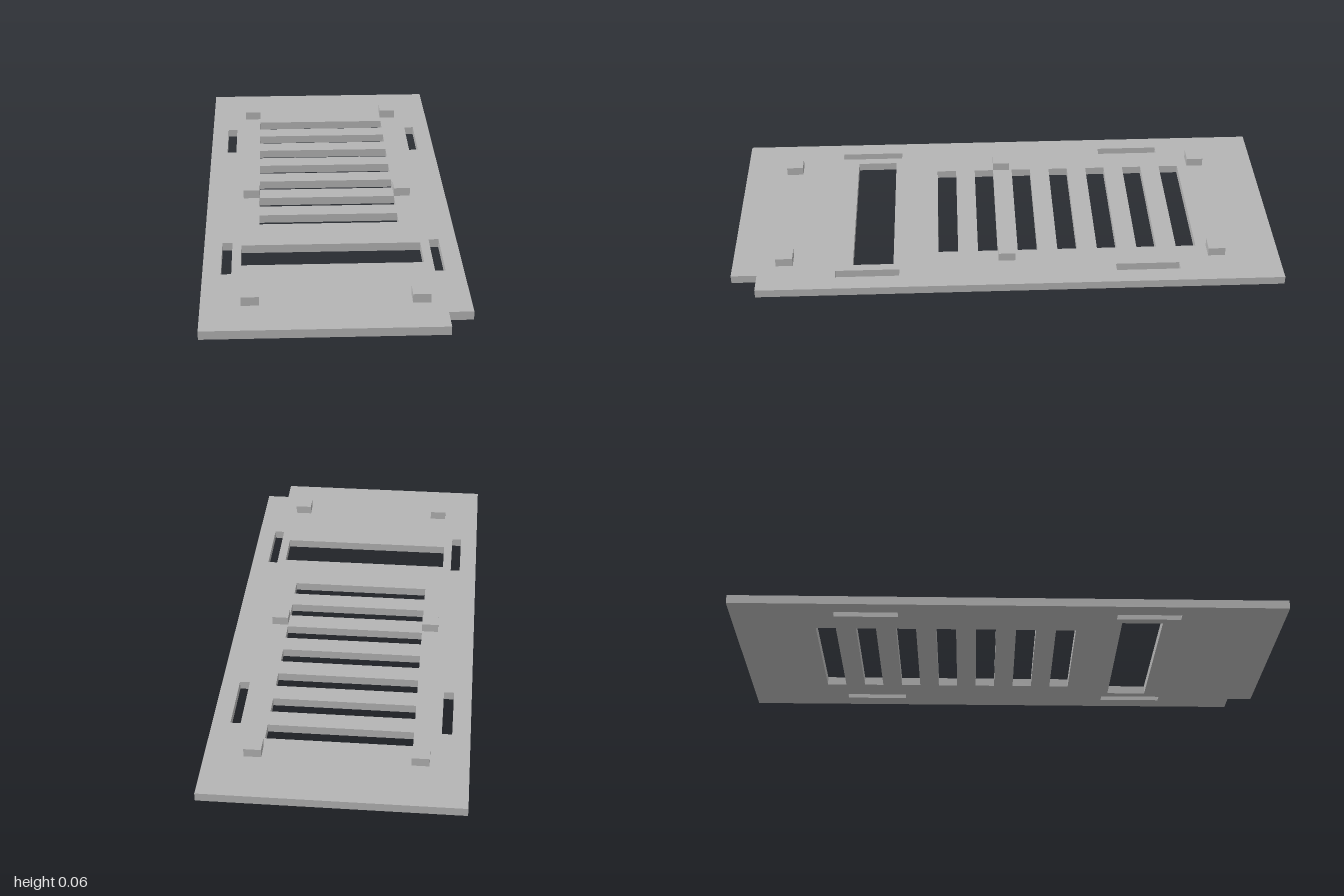
import * as THREE from 'three';

const THICK = 0.031;

// Rectangle in plan coordinates (x, z); shape y is -z
function trace(path, points) {
  path.setFromPoints(points.map(([x, z]) => new THREE.Vector2(x, -z)));
  path.closePath();
  return path;
}

function slot(x0, x1, z0, z1) {
  return trace(new THREE.Path(), [[x0, z0], [x1, z0], [x1, z1], [x0, z1]]);
}

export function createModel() {
  const group = new THREE.Group();
  group.name = 'ventedPlate';
  const grey = new THREE.MeshStandardMaterial({ color: 0xb4b4b4 });
  grey.name = 'grey';

  // Plate outline with a notch in the front left corner
  const outline = trace(new THREE.Shape(), [
    [-0.452, 1], [0.368, 1], [0.368, 0.907], [0.452, 0.907], [0.452, -1], [-0.452, -1],
  ]);

  // Seven vent slots
  for (let i = 0; i < 7; i++) {
    const z = -0.702 + i * 0.1465;
    outline.holes.push(slot(-0.256, 0.256, z, z + 0.073));
  }
  // Wide opening
  outline.holes.push(slot(-0.32, 0.32, 0.414, 0.562));
  // Narrow strap slots along both sides
  for (const [z0, z1] of [[-0.629, -0.397], [0.392, 0.624]]) {
    outline.holes.push(slot(-0.388, -0.352, z0, z1), slot(0.352, 0.388, z0, z1));
  }

  const plateGeometry = new THREE.ExtrudeGeometry(outline, { depth: THICK, bevelEnabled: false });
  plateGeometry.rotateX(-Math.PI / 2);
  const plate = new THREE.Mesh(plateGeometry, grey);
  plate.name = 'plate';
  group.add(plate);

  // Six square pegs on top
  const pegGeometry = new THREE.BoxGeometry(0.061, 0.032, 0.062);
  for (const z of [-0.771, -0.001, 0.811]) {
    for (const side of [-1, 1]) {
      const peg = new THREE.Mesh(pegGeometry, grey);
      peg.name = side > 0 ? 'leftPeg' : 'rightPeg';
      peg.position.set(side * 0.286, THICK + 0.016, z);
      group.add(peg);
    }
  }
  return group;
}
